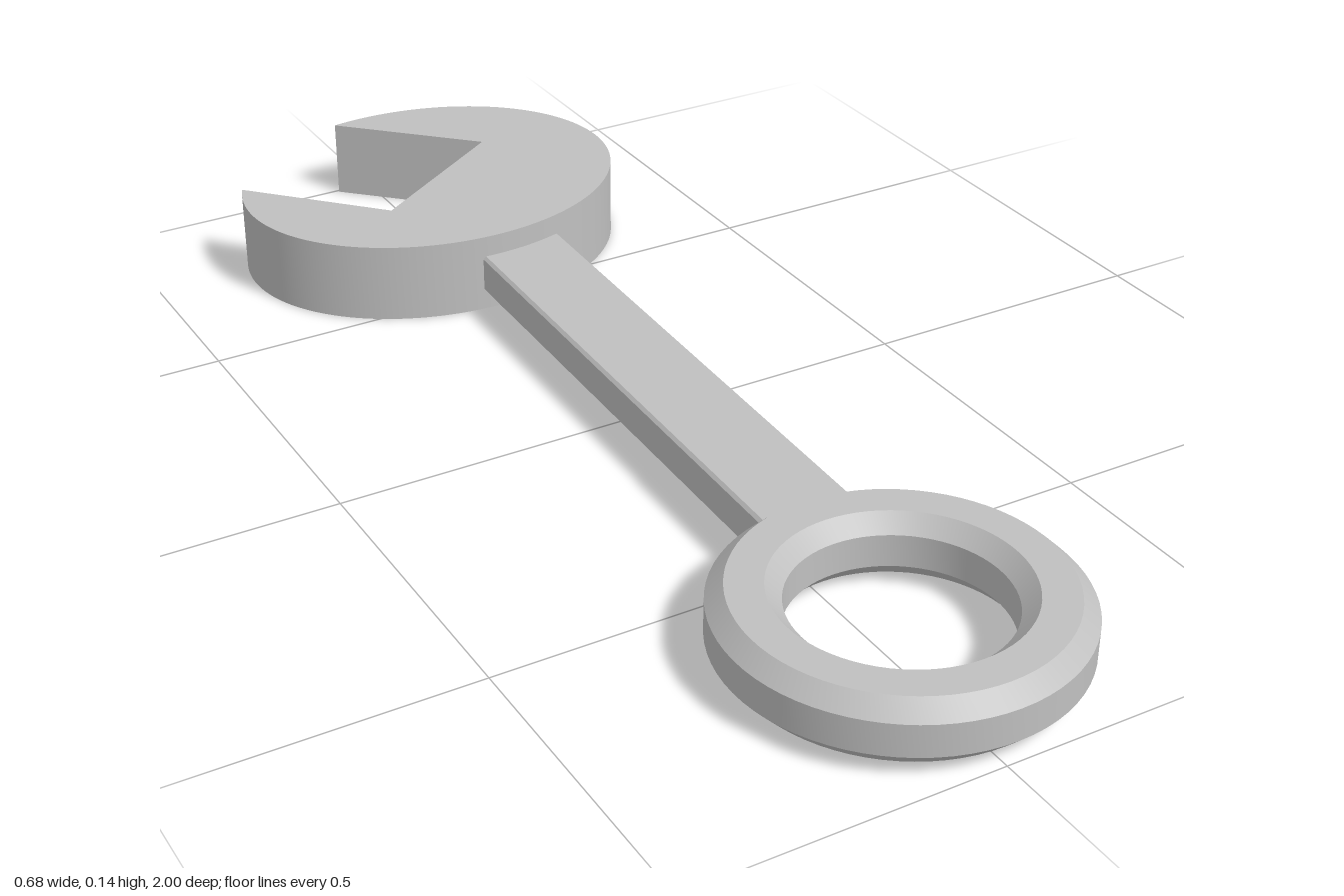
import * as THREE from 'three';
import { toCreasedNormals } from 'three/addons/utils/BufferGeometryUtils.js';

export function createModel() {
  const group = new THREE.Group();
  const steel = new THREE.MeshStandardMaterial({ name: 'steel grey', color: 0xc0c0c0 });
  const add = (name, geometry) => {
    const mesh = new THREE.Mesh(toCreasedNormals(geometry, 0.5), steel);
    mesh.name = name;
    group.add(mesh);
    return mesh;
  };

  // Open jaw: flat oval with an angled notch
  const jaw = new THREE.Shape();
  jaw.moveTo(-0.063, 0.995);
  jaw.absellipse(0, 0.722, 0.34, 0.278, 1.757, 2.771, true, 0);
  jaw.lineTo(-0.122, 0.617);
  jaw.lineTo(0.143, 0.794);
  jaw.closePath();
  const jawGeometry = new THREE.ExtrudeGeometry(jaw, { depth: 0.137, bevelEnabled: false, curveSegments: 80 });
  jawGeometry.rotateX(-Math.PI / 2);
  add('openJaw', jawGeometry);

  // Handle: bar with slim chamfers, turned slightly off the long axis
  const w = 0.0775, h = 0.0335, c = 0.005;
  const section = new THREE.Shape([
    [w, -h + c], [w, h - c], [w - c, h], [-w + c, h],
    [-w, h - c], [-w, -h + c], [-w + c, -h], [w - c, -h],
  ].map(([x, y]) => new THREE.Vector2(x, y)));
  const handle = add('handle', new THREE.ExtrudeGeometry(section, { depth: 1.01, bevelEnabled: false }));
  handle.position.set(0.0486, 0.0665, -0.5);
  handle.rotation.y = -0.0266;

  // Ring end: chamfered section turned around the hole
  const profile = [
    [0.163, 0.035], [0.188, 0.008], [0.244, 0.008], [0.27, 0.035],
    [0.27, 0.088], [0.244, 0.114], [0.188, 0.114], [0.163, 0.088], [0.163, 0.035],
  ].map(([r, y]) => new THREE.Vector2(r, y));
  const ring = add('ringEnd', new THREE.LatheGeometry(profile, 72));
  ring.position.set(0.0165, 0, 0.73);

  return group;
}
